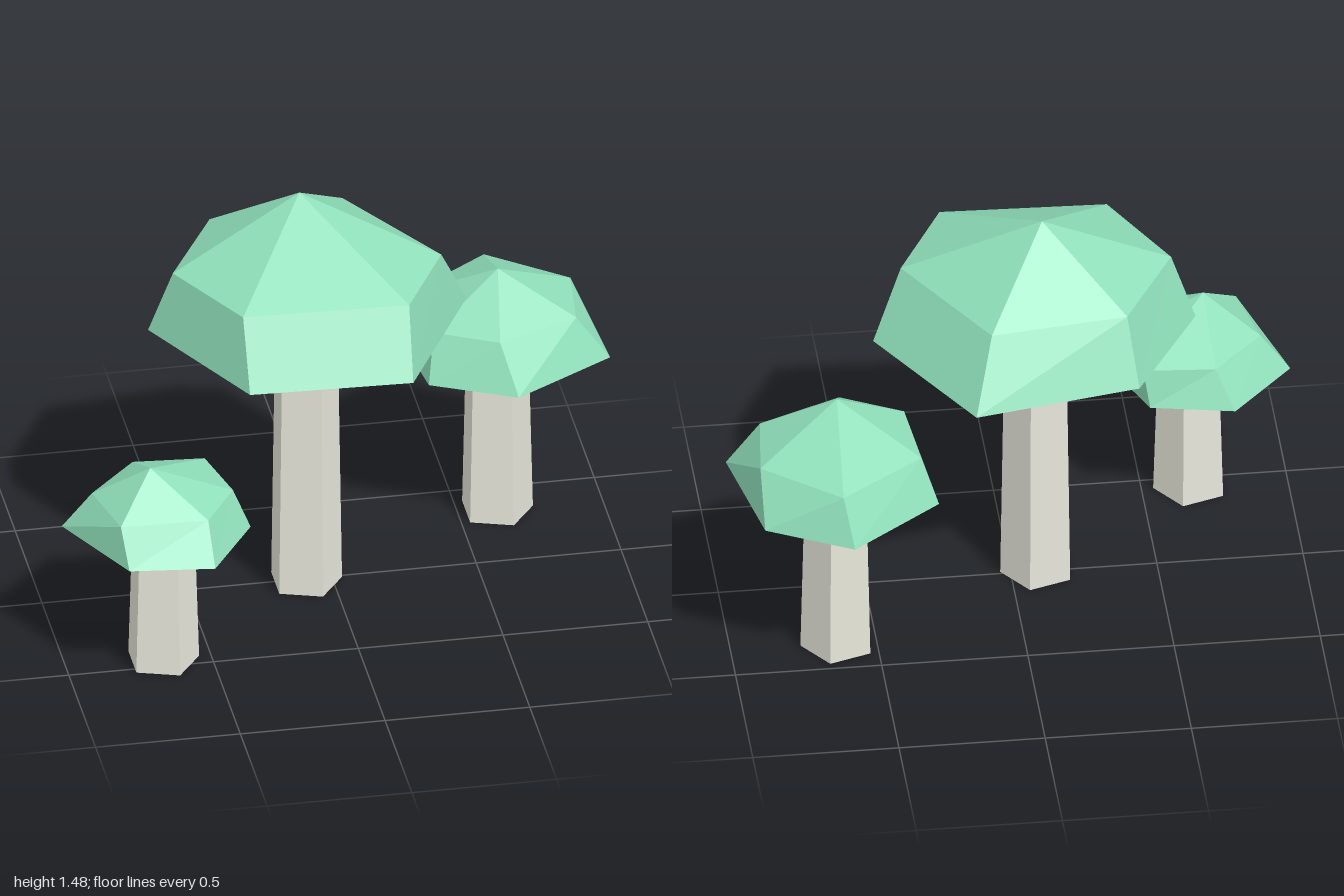
import * as THREE from 'three';

const capMaterial = new THREE.MeshStandardMaterial({ color: 0x8fdfba, flatShading: true });
const stemMaterial = new THREE.MeshStandardMaterial({ color: 0xe6e6da, flatShading: true });

// Each mushroom: rim and shoulder are irregular hexagons of [x, z], clockwise from above
const mushrooms = [
  {
    name: 'tallMushroom', stem: [-0.093, 0.01], centre: [-0.1, -0.06],
    heights: { base: 0.965, rim: 1.02, shoulder: 1.25, tip: 1.48 },
    rim: [[-0.63, -0.02], [-0.39, -0.43], [0.18, -0.54], [0.475, -0.04], [0.19, 0.5], [-0.37, 0.48]],
    shoulder: [[-0.55, 0.01], [-0.36, -0.33], [0.11, -0.39], [0.37, 0.05], [0.2, 0.37], [-0.37, 0.35]],
  },
  {
    name: 'smallMushroom', stem: [-0.668, 0.45], centre: [-0.715, 0.48],
    heights: { base: 0.485, rim: 0.51, shoulder: 0.64, tip: 0.77 },
    rim: [[-1, 0.37], [-0.785, 0.135], [-0.5, 0.19], [-0.37, 0.49], [-0.54, 0.75], [-0.83, 0.715]],
    shoulder: [[-0.9, 0.39], [-0.725, 0.205], [-0.48, 0.225], [-0.425, 0.455], [-0.545, 0.645], [-0.845, 0.635]],
  },
  {
    name: 'mediumMushroom', stem: [0.633, -0.35], centre: [0.63, -0.3],
    heights: { base: 0.625, rim: 0.655, shoulder: 0.815, tip: 0.97 },
    rim: [[0.305, -0.51], [0.62, -0.75], [0.91, -0.6], [0.995, -0.175], [0.64, 0.04], [0.355, -0.1]],
    shoulder: [[0.36, -0.46], [0.65, -0.67], [0.91, -0.46], [0.88, -0.19], [0.595, -0.065], [0.385, -0.175]],
  },
];

// Faceted cap: low cone underneath, sloping sides, pointed crown
function capGeometry({ centre, heights, rim, shoulder }) {
  const at = ([x, z], y) => [x, y, z];
  const tip = at(centre, heights.tip);
  const base = at(centre, heights.base);
  const low = rim.map((p) => at(p, heights.rim));
  const high = shoulder.map((p) => at(p, heights.shoulder));
  const positions = [];
  const face = (...corners) => positions.push(...corners.flat());
  for (let i = 0; i < rim.length; i++) {
    const j = (i + 1) % rim.length;
    face(tip, high[j], high[i]);
    face(low[j], low[i], high[i]);
    face(low[j], high[i], high[j]);
    face(base, low[i], low[j]);
  }
  const geometry = new THREE.BufferGeometry();
  geometry.setAttribute('position', new THREE.Float32BufferAttribute(positions, 3));
  geometry.computeVertexNormals();
  return geometry;
}

// Slightly tapered five-sided stem standing on the ground
function stemMesh([x, z], height) {
  const stem = new THREE.Mesh(new THREE.CylinderGeometry(0.112, 0.1275, height, 5), stemMaterial);
  stem.name = 'stem';
  stem.position.set(x, height / 2, z);
  stem.rotation.y = Math.PI / 2;
  return stem;
}

export function createModel() {
  const model = new THREE.Group();
  model.name = 'mushroomCluster';
  for (const spec of mushrooms) {
    const mushroom = new THREE.Group();
    mushroom.name = spec.name;
    const cap = new THREE.Mesh(capGeometry(spec), capMaterial);
    cap.name = 'cap';
    mushroom.add(cap, stemMesh(spec.stem, spec.heights.rim));
    model.add(mushroom);
  }
  return model;
}
